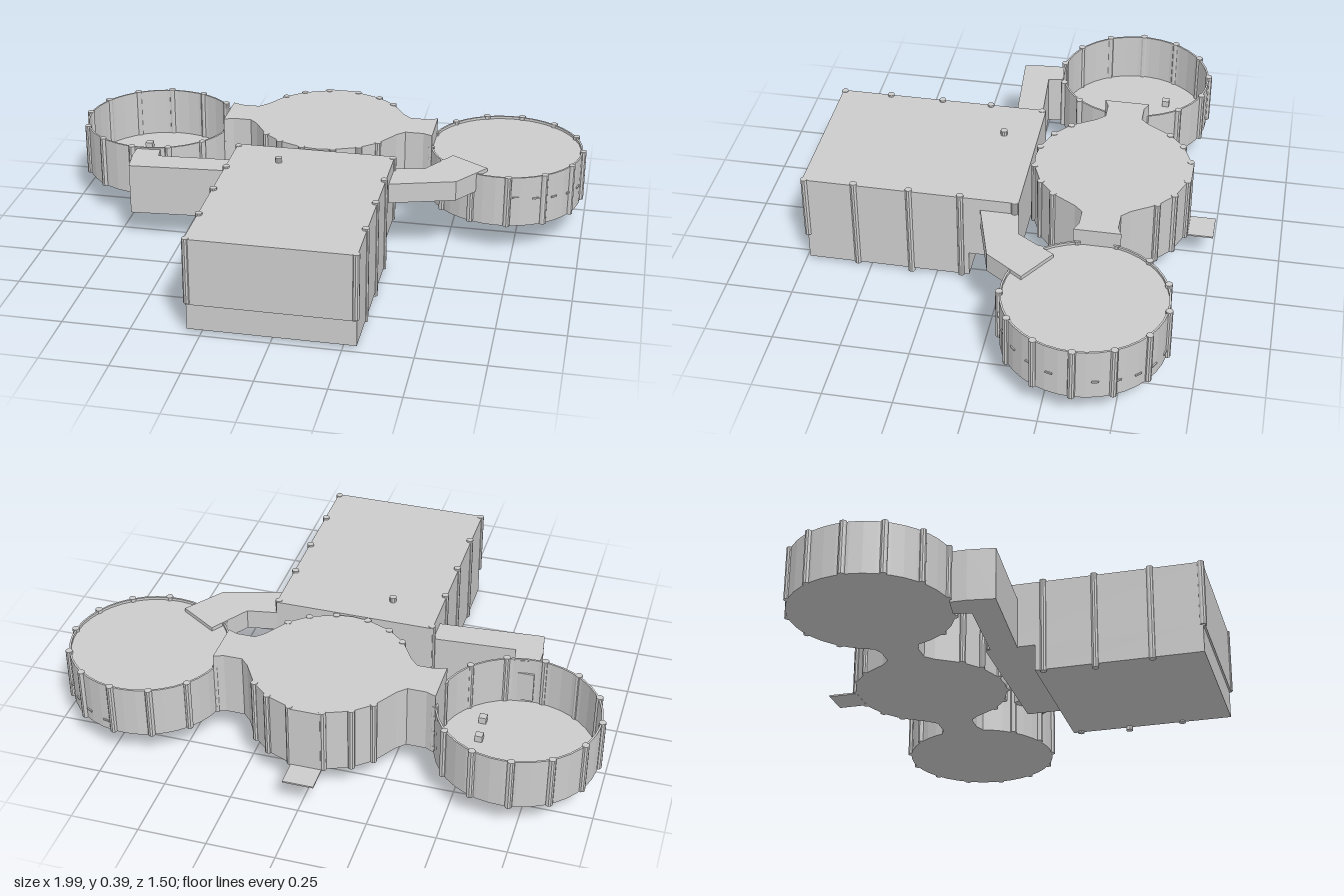
import * as THREE from 'three';

const material = new THREE.MeshStandardMaterial({ color: 0xcccccc, flatShading: true, side: THREE.DoubleSide });

export function createModel() {
  const model = new THREE.Group();

  function add(name, geometry, x = 0, y = 0, z = 0, parent = model) {
    const mesh = new THREE.Mesh(geometry, material);
    mesh.name = name;
    mesh.position.set(x, y, z);
    parent.add(mesh);
    return mesh;
  }
  // Box given by its limits on each axis
  function block(name, x0, x1, y0, y1, z0, z1) {
    return add(name, new THREE.BoxGeometry(x1 - x0, y1 - y0, z1 - z0), (x0 + x1) / 2, (y0 + y1) / 2, (z0 + z1) / 2);
  }
  // Vertical prism over a floor plan of [x, z] corners
  function prism(name, plan, y0, y1) {
    const shape = new THREE.Shape(plan.map(([x, z]) => new THREE.Vector2(x, -z)));
    const geometry = new THREE.ExtrudeGeometry(shape, { depth: y1 - y0, bevelEnabled: false });
    geometry.rotateX(-Math.PI / 2);
    return add(name, geometry, 0, y0, 0);
  }
  function post(name, x, z, y0, y1, parent = model) {
    return add(name, new THREE.CylinderGeometry(0.013, 0.013, y1 - y0, 10), x, (y0 + y1) / 2, z, parent);
  }

  // Main hall: deep front part and an overhanging rear part
  block('hallLower', -0.3, 0.3, 0.015, 0.12, 0.125, 0.735);
  block('hallUpper', -0.3, 0.3, 0.115, 0.368, -0.06, 0.742);
  for (const side of [-1, 1]) {
    for (const [z, y0, y1] of [[0.735, 0.12, 0.37], [0.55, 0.01, 0.375], [0.345, 0, 0.375], [0.155, 0.01, 0.375], [-0.045, 0.117, 0.37]]) {
      post('hallPost', side * 0.295, z, y0, y1);
    }
  }
  post('roofVent', -0.115, 0.07, 0.36, 0.387);

  // Round side rooms: thin wall with a ring of posts, floor at the given height
  const centreX = 0.69, centreZ = -0.36, radius = 0.293;
  function roundRoom(name, side, floorY) {
    const room = new THREE.Group();
    room.name = name;
    room.position.set(side * centreX, 0, centreZ);
    model.add(room);
    const profile = [[0, 0.117], [radius, 0.117], [radius, 0.315], [radius - 0.007, 0.315], [radius - 0.007, floorY], [0, floorY]];
    add(name + 'Wall', new THREE.LatheGeometry(profile.map(([x, y]) => new THREE.Vector2(x, y)), 39, Math.PI / 2), 0, 0, 0, room);
    for (let i = 0; i < 13; i++) {
      const a = (i / 13) * Math.PI * 2;
      post('wallPost', side * radius * Math.cos(a), radius * Math.sin(a), 0.117, 0.318, room);
    }
    return room;
  }
  const openRoom = roundRoom('openRoom', -1, 0.125);
  const closedRoom = roundRoom('roofedRoom', 1, 0.305);

  // Small fittings inside the open room
  for (const [x, z] of [[-0.78, -0.48], [-0.55, -0.34], [-0.54, -0.235]]) {
    block('floorFitting', x - 0.014, x + 0.014, 0.12, 0.15, z - 0.014, z + 0.014);
  }
  add('door', new THREE.BoxGeometry(0.06, 0.12, 0.008), 0.03, 0.195, 0.28, openRoom);

  // Narrow slits stepping down around the roofed room
  for (let i = 0; i < 11; i++) {
    const a = 1.35 - i * 0.27;
    const slit = add('wallSlit', new THREE.BoxGeometry(0.008, 0.006, 0.025),
      radius * Math.cos(a), 0.235 - i * 0.008, radius * Math.sin(a), closedRoom);
    slit.rotation.y = -a;
  }

  // Central room with a short neck to either side, mirrored from one quarter plan
  const quarter = [[0.41, 0.085], [0.375, 0.07], [0.305, 0.07], [0.275, 0.1]];
  const bumps = [41, 58, 78];
  for (const degrees of [...bumps, 90]) {
    const a = THREE.MathUtils.degToRad(degrees);
    quarter.push([0.29 * Math.cos(a), 0.29 * Math.sin(a)]);
  }
  const plan = [];
  for (const [sx, sz] of [[1, 1], [-1, 1], [-1, -1], [1, -1]]) {
    const part = quarter.map(([x, z]) => [sx * x, centreZ + sz * z]);
    if (sx * sz < 0) part.reverse();
    // The point on the centre line is shared by neighbouring quarters
    plan.push(...part.filter(([x], i) => Math.abs(x) > 0.001 || sx > 0));
  }
  prism('centralRoom', plan, 0.117, 0.369);
  for (const sx of [-1, 1]) for (const sz of [-1, 1]) for (const degrees of bumps) {
    const a = THREE.MathUtils.degToRad(degrees);
    post('centralPost', sx * 0.288 * Math.cos(a), centreZ + sz * 0.288 * Math.sin(a), 0.117, 0.371);
  }

  // Rear porch and its thin doorstep
  block('rearPorch', -0.055, 0.055, 0.117, 0.369, -0.655, -0.6);
  block('doorstep', -0.058, 0.055, 0.116, 0.122, -0.75, -0.64);

  // Bent corridors from the hall to the round rooms
  prism('roofedRoomCorridor', [[0.3, -0.06], [0.41, -0.08], [0.5, -0.22], [0.64, -0.13], [0.54, 0.01], [0.3, 0.08]], 0.243, 0.32);
  prism('openRoomCorridor', [[-0.3, -0.04], [-0.605, -0.02], [-0.615, -0.085], [-0.705, -0.07], [-0.705, -0.01], [-0.69, 0.09], [-0.3, 0.06]], 0.113, 0.309);

  return model;
}
